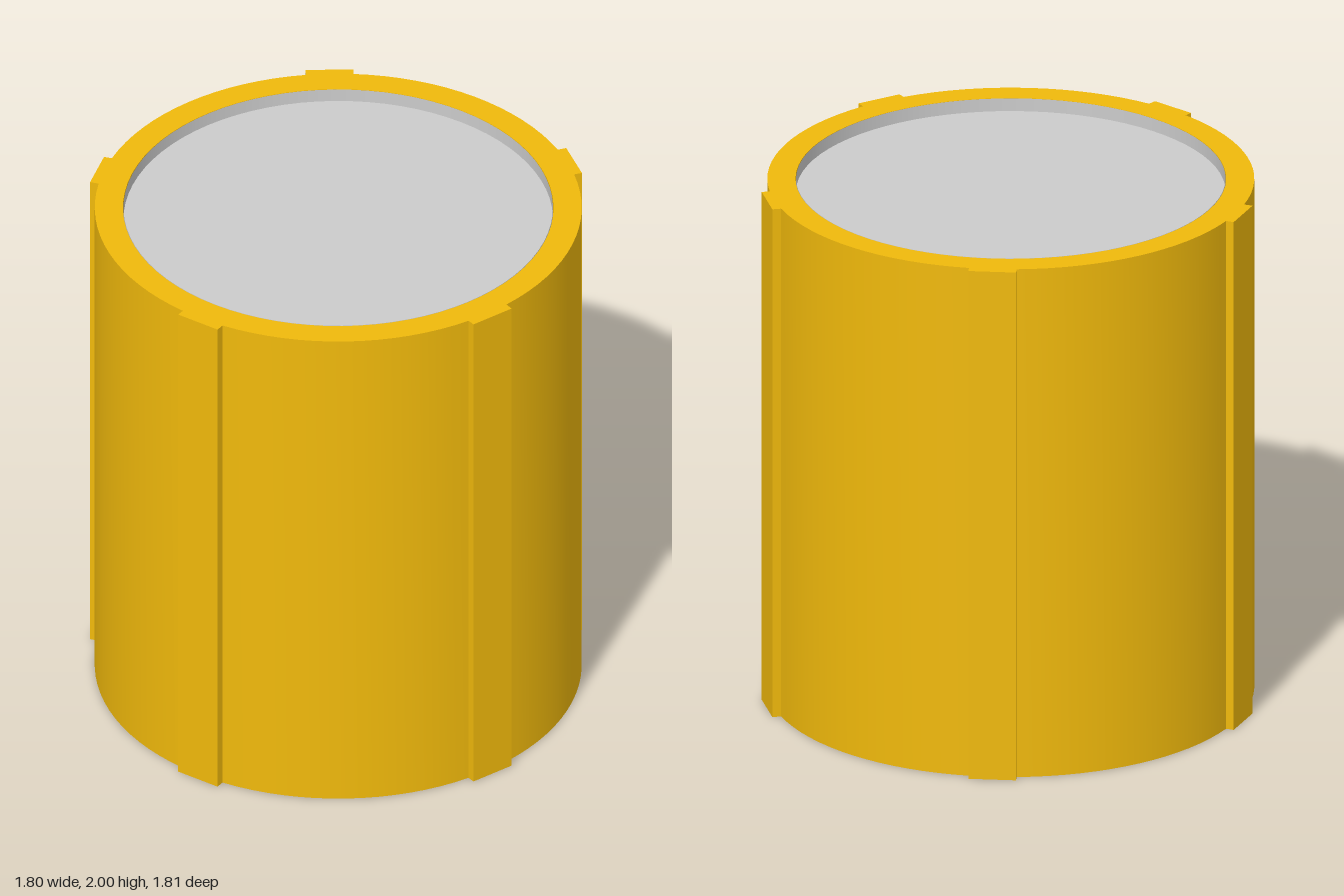
import * as THREE from 'three';
import { toCreasedNormals } from 'three/addons/utils/BufferGeometryUtils.js';

const HEIGHT = 2, RADIUS = 0.89, BORE = 0.787, RIB_RADIUS = 0.917;
const RIBS = 5, RIB_MIN = -0.074, RIB_MAX = 0.101; // rib edges along the tangent
const CENTRE_Z = 0.012, FLOOR_Y = 1.95;

// Round outline with flat ribs standing slightly proud of it
function ribbedOutline() {
  const points = [];
  const start = Math.asin(RIB_MIN / RADIUS), end = Math.asin(RIB_MAX / RADIUS);
  const step = (Math.PI * 2) / RIBS, arcSegments = 16;
  for (let i = 0; i < RIBS; i++) {
    const a = Math.PI / 2 + i * step;
    const ribCorner = (t) => new THREE.Vector2(
      RIB_RADIUS * Math.cos(a) - t * Math.sin(a),
      RIB_RADIUS * Math.sin(a) + t * Math.cos(a));
    points.push(ribCorner(RIB_MIN), ribCorner(RIB_MAX));
    for (let j = 0; j <= arcSegments; j++) {
      const b = a + end + (step + start - end) * (j / arcSegments);
      points.push(new THREE.Vector2(RADIUS * Math.cos(b), RADIUS * Math.sin(b)));
    }
  }
  return new THREE.Shape(points);
}

export function createModel() {
  const group = new THREE.Group();
  const gold = new THREE.MeshStandardMaterial({ color: 0xf0b90b });
  const grey = new THREE.MeshStandardMaterial({ color: 0xcccccc, side: THREE.DoubleSide });
  const add = (name, geometry, material, y = 0) => {
    const mesh = new THREE.Mesh(geometry, material);
    mesh.name = name;
    mesh.position.set(0, y, CENTRE_Z);
    group.add(mesh);
  };

  // Ribbed outer shell
  const outline = ribbedOutline();
  outline.holes.push(new THREE.Path().absarc(0, 0, BORE, 0, Math.PI * 2, true));
  const shell = new THREE.ExtrudeGeometry(outline, { depth: HEIGHT, bevelEnabled: false, curveSegments: 40 });
  shell.rotateX(-Math.PI / 2);
  add('ribbedShell', toCreasedNormals(shell, 0.3), gold);

  // Closed underside
  add('base', new THREE.CircleGeometry(BORE, 80).rotateX(Math.PI / 2), gold);

  // Shallow grey recess at the top
  const inner = BORE - 0.002;
  add('recessWall', new THREE.CylinderGeometry(inner, inner, HEIGHT - FLOOR_Y, 80, 1, true), grey, (HEIGHT + FLOOR_Y) / 2);
  add('recessFloor', new THREE.CircleGeometry(inner, 80).rotateX(-Math.PI / 2), grey, FLOOR_Y);

  return group;
}
